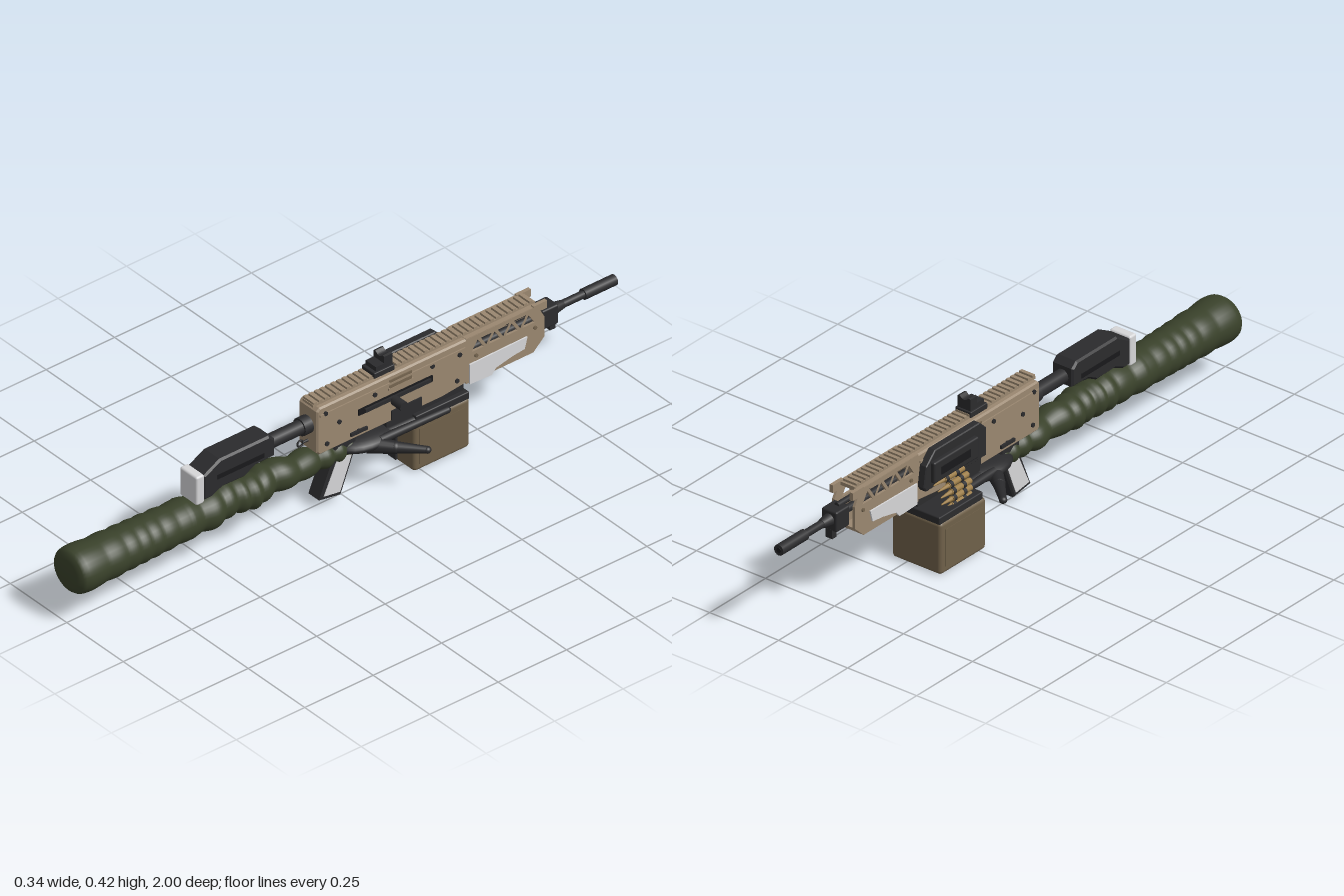
import * as THREE from 'three';
import { RoundedBoxGeometry } from 'three/addons/geometries/RoundedBoxGeometry.js';

const mat = (name, color) => Object.assign(new THREE.MeshStandardMaterial({ color }), { name });

export function createModel() {
  const tan = mat('tan', 0x9a8770), darkTan = mat('dark tan', 0x75654f), black = mat('black', 0x2b2b2d);
  const deep = mat('deep black', 0x19191b), white = mat('light grey', 0xd6d6d8), can = mat('ammo box brown', 0x6f6049);
  const sleeveMat = mat('sleeve green', 0x39412a), glove = mat('glove grey', 0x29292b), brass = mat('brass', 0x9c7c46);
  const model = new THREE.Group();
  const add = (name, geo, m, parent = model) => {
    const mesh = new THREE.Mesh(geo, m);
    mesh.name = name;
    parent.add(mesh);
    return mesh;
  };
  // Box given by its extents on each axis
  const box = (name, m, x0, x1, y0, y1, z0, z1, r = 0) => {
    const s = [x1 - x0, y1 - y0, z1 - z0];
    const g = r ? new RoundedBoxGeometry(...s, 3, r) : new THREE.BoxGeometry(...s);
    return add(name, g.translate((x0 + x1) / 2, (y0 + y1) / 2, (z0 + z1) / 2), m);
  };
  // Cylinder between two points
  const rod = (name, m, a, b, r0, r1 = r0, sides = 16) => {
    const p = new THREE.Vector3(...a), q = new THREE.Vector3(...b), d = q.clone().sub(p);
    const mesh = add(name, new THREE.CylinderGeometry(r1, r0, d.length(), sides), m);
    mesh.position.copy(p).add(q).multiplyScalar(0.5);
    mesh.quaternion.setFromUnitVectors(new THREE.Vector3(0, 1, 0), d.normalize());
    return mesh;
  };
  // Side outline of [z, y] points, extruded across x
  const outline = (pts, Type = THREE.Shape) => new Type(pts.map(([z, y]) => new THREE.Vector2(-z, y)));
  const slab = (name, m, pts, x0, x1, bevel = 0, holes = []) => {
    const shape = outline(pts);
    holes.forEach(h => shape.holes.push(outline(h, THREE.Path)));
    const g = new THREE.ExtrudeGeometry(shape, {
      depth: x1 - x0 - 2 * bevel, bevelEnabled: bevel > 0, bevelSize: bevel, bevelThickness: bevel,
      bevelOffset: -bevel, bevelSegments: 1,
    });
    return add(name, g.rotateY(Math.PI / 2).translate(x0 + bevel, 0, 0), m);
  };

  // Receiver
  slab('receiver', tan, [[0.12, 0.215], [0.12, 0.355], [0.11, 0.365], [-0.43, 0.365], [-0.43, 0.215],
    [-0.34, 0.205], [0.11, 0.205]], -0.041, 0.041, 0.005);
  for (const s of [-1, 1]) {
    const side = (name, m, y0, y1, z0, z1, t = 0.004) =>
      box(name, m, Math.min(s * 0.04, s * (0.041 + t)), Math.max(s * 0.04, s * (0.041 + t)), y0, y1, z0, z1);
    side('receiverRib', tan, 0.335, 0.342, -0.42, 0.11);
    side('magazineWellPanel', black, 0.212, 0.243, -0.26, -0.15);
    side('receiverWindow', darkTan, 0.322, 0.35, -0.225, -0.145, 0.003);
    side('windowFrame', tan, 0.317, 0.323, -0.23, -0.14);
    side('selectorLever', black, 0.222, 0.232, -0.06, 0.0, 0.007);
    for (const [z, y] of [[0.09, 0.34], [0.085, 0.235], [-0.03, 0.228], [-0.09, 0.325], [-0.30, 0.33], [-0.39, 0.24], [-0.40, 0.325], [0.04, 0.29]])
      rod('pin', black, [s * 0.038, y, z], [s * 0.046, y, z], 0.007, 0.007, 10);
  }

  // Handguard side plates with triangular cut-outs
  const holes = [];
  for (let i = 0; i < 7; i++) {
    const z = -0.445 - i * 0.031, up = i % 2;
    holes.push([[z, up ? 0.352 : 0.314], [z - 0.044, up ? 0.352 : 0.314], [z - 0.022, up ? 0.318 : 0.348]]);
  }
  for (const s of [-1, 1]) {
    slab('handguardPlate', tan, [[-0.425, 0.365], [-0.685, 0.365], [-0.71, 0.32], [-0.71, 0.25], [-0.67, 0.213], [-0.425, 0.213]],
      s > 0 ? 0.033 : -0.041, s > 0 ? 0.041 : -0.033, 0, holes);
    slab('heatShield', white, [[-0.435, 0.277], [-0.645, 0.28], [-0.635, 0.243], [-0.59, 0.238], [-0.53, 0.225], [-0.515, 0.207], [-0.435, 0.21]],
      s > 0 ? 0.039 : -0.046, s > 0 ? 0.046 : -0.039);
    for (const z of [-0.46, -0.675]) rod('handguardBolt', darkTan, [s * 0.038, 0.297, z], [s * 0.046, 0.297, z], 0.006, 0.006, 8);
  }
  box('handguardTop', tan, -0.04, 0.04, 0.356, 0.366, -0.685, -0.425);
  box('handguardFloor', tan, -0.04, 0.04, 0.213, 0.222, -0.67, -0.425);

  // Top rail with teeth
  box('railBase', tan, -0.024, 0.024, 0.363, 0.371, -0.69, 0.12);
  for (let i = 0; i < 40; i++) box('railTooth', tan, -0.024, 0.024, 0.37, 0.378, 0.106 - i * 0.0202, 0.118 - i * 0.0202);
  for (const s of [-1, 1]) box('frontLug', tan, s * 0.036 - 0.006, s * 0.036 + 0.006, 0.345, 0.37, -0.72, -0.67);

  // Sight
  box('sightBase', black, -0.029, 0.029, 0.366, 0.385, -0.175, -0.1, 0.003);
  box('sightBody', black, -0.023, 0.023, 0.383, 0.4, -0.17, -0.11);
  const notch = new THREE.Shape();
  notch.moveTo(-0.023, 0.395); notch.lineTo(0.023, 0.395); notch.lineTo(0.023, 0.422); notch.lineTo(0.016, 0.424);
  notch.quadraticCurveTo(0, 0.405, -0.016, 0.424); notch.lineTo(-0.023, 0.422);
  add('sightNotch', new THREE.ExtrudeGeometry(notch, { depth: 0.03, bevelEnabled: false }).translate(0, 0, -0.17), black);

  // Barrel and muzzle
  rod('barrel', black, [0, 0.295, -0.4], [0, 0.295, -0.92], 0.012);
  rod('muzzle', black, [0, 0.295, -0.885], [0, 0.295, -1], 0.017);
  rod('muzzleBore', deep, [0, 0.295, -0.999], [0, 0.295, -1.0005], 0.008);
  box('gasBlock', black, -0.028, 0.028, 0.26, 0.325, -0.775, -0.715, 0.006);
  rod('gasTube', black, [0, 0.325, -0.6], [0, 0.325, -0.74], 0.009);
  rod('gasBlockCollar', black, [0, 0.295, -0.77], [0, 0.295, -0.81], 0.02, 0.013);
  box('gasBlockFoot', black, -0.012, 0.012, 0.235, 0.265, -0.775, -0.755);

  // Stock
  rod('stockTube', black, [0, 0.297, 0.115], [0, 0.297, 0.3], 0.022);
  rod('stockCollar', black, [0, 0.297, 0.115], [0, 0.297, 0.15], 0.028);
  slab('stock', black, [[0.53, 0.315], [0.47, 0.348], [0.29, 0.348], [0.27, 0.33], [0.27, 0.272], [0.34, 0.27], [0.38, 0.248],
    [0.46, 0.25], [0.5, 0.232], [0.53, 0.232]], -0.038, 0.038, 0.006);
  box('stockPanel', deep, -0.0395, 0.0395, 0.285, 0.3, 0.31, 0.48);
  rod('stockStrut', black, [0, 0.255, 0.36], [0, 0.235, 0.53], 0.012);
  box('buttPad', white, -0.038, 0.038, 0.225, 0.322, 0.527, 0.557, 0.007);
  add('slingLoop', new THREE.TorusGeometry(0.01, 0.003, 6, 16).rotateY(Math.PI / 2).translate(0, 0.24, 0.148), black);
  rod('slingStud', black, [0, 0.24, 0.115], [0, 0.24, 0.14], 0.004);

  // Pistol grip and trigger
  slab('grip', black, [[0.045, 0.21], [-0.04, 0.21], [-0.03, 0.15], [0.02, 0.022], [0.098, 0.035], [0.05, 0.15]], -0.028, 0.028, 0.005);
  for (const s of [-1, 1])
    slab('gripPanel', white, [[-0.018, 0.15], [0.037, 0.15], [0.085, 0.046], [0.026, 0.037]], s > 0 ? 0.026 : -0.03, s > 0 ? 0.03 : -0.026);
  const guard = new THREE.CatmullRomCurve3([[-0.02, 0.14], [-0.08, 0.125], [-0.125, 0.14], [-0.14, 0.205]].map(([z, y]) => new THREE.Vector3(0, y, z)));
  add('triggerGuard', new THREE.TubeGeometry(guard, 20, 0.006, 8), black);
  rod('trigger', black, [0, 0.2, -0.07], [0, 0.145, -0.08], 0.006, 0.004, 8);

  // Bolt slot and charging handle
  box('boltSlot', deep, 0.04, 0.045, 0.28, 0.3, -0.3, -0.03);
  box('boltBar', black, 0.04, 0.052, 0.285, 0.296, -0.29, -0.05);
  rod('chargingHandleStem', black, [0.04, 0.288, -0.15], [0.065, 0.288, -0.15], 0.009);
  rod('chargingHandle', black, [0.058, 0.288, -0.15], [0.1, 0.288, -0.15], 0.015);

  // Feed cover on the right side
  slab('feedCover', black, [[-0.43, 0.265], [-0.42, 0.33], [-0.38, 0.368], [-0.18, 0.368], [-0.15, 0.34], [-0.15, 0.25], [-0.42, 0.25]], -0.066, -0.04, 0.003);
  box('feedCoverBulge', black, -0.08, -0.06, 0.27, 0.338, -0.4, -0.2, 0.006);
  box('feedCoverRib', deep, -0.082, -0.07, 0.29, 0.315, -0.37, -0.24);

  // Ammunition box
  box('ammoBox', can, -0.126, 0.053, 0.003, 0.17, -0.43, -0.225, 0.012);
  for (const x of [-0.127, 0.051]) box('ammoBoxPanel', can, x, x + 0.003, 0.025, 0.145, -0.41, -0.245);
  box('ammoBoxLid', black, -0.122, 0.05, 0.165, 0.19, -0.43, -0.235, 0.004);
  box('ammoBoxStrap', black, -0.053, -0.02, 0.012, 0.165, -0.23, -0.217);
  box('magazineWell', black, -0.034, 0.034, 0.18, 0.22, -0.42, -0.14);

  // Belt of rounds
  [[-0.096, 0.185], [-0.096, 0.206], [-0.094, 0.227], [-0.084, 0.244], [-0.068, 0.258], [-0.052, 0.27]].forEach(([x, y]) => {
    rod('roundCase', brass, [x, y, -0.26], [x, y, -0.345], 0.0095, 0.0095, 12);
    rod('roundTip', brass, [x, y, -0.345], [x, y, -0.39], 0.007, 0.002, 12);
    for (const z of [-0.285, -0.33]) rod('beltLink', black, [x, y, z], [x, y, z - 0.012], 0.0108, 0.0108, 12);
  });

  // Sleeve: a lathe with uneven folds, bent along its length
  const knots = [[-0.05, 0.026], [0, 0.036], [0.1, 0.041], [0.3, 0.054], [0.55, 0.063], [0.8, 0.07], [0.97, 0.076], [1, 0.074]];
  const radius = z => {
    const i = Math.max(1, knots.findIndex(k => k[0] >= z - 1e-6));
    const [a, b] = [knots[i - 1], knots[i]];
    return a[1] + (b[1] - a[1]) * (z - a[0]) / (b[0] - a[0]);
  };
  const profile = [new THREE.Vector2(0, -0.05)];
  for (let i = 0; i <= 140; i++) {
    const z = -0.05 + i * 0.0073;
    const fold = Math.abs(Math.sin(z * 52 + 1.3 * Math.sin(z * 17)));
    profile.push(new THREE.Vector2(radius(Math.min(z, 0.972)) + (fold - 0.6) * (z < 0.58 ? 0.009 : 0.004), z));
  }
  profile.push(new THREE.Vector2(0.073, 0.984), new THREE.Vector2(0.066, 0.993), new THREE.Vector2(0.045, 0.999), new THREE.Vector2(0, 1));
  const sleeve = new THREE.LatheGeometry(profile, 32).rotateX(Math.PI / 2);
  const p = sleeve.attributes.position;
  for (let i = 0; i < p.count; i++) {
    const z = p.getZ(i), loose = z > 0.05 && z < 0.6 ? Math.sin((z - 0.05) / 0.55 * Math.PI) : 0;
    p.setX(i, p.getX(i) + 0.006 * loose * Math.sin(z * 41));
    p.setY(i, p.getY(i) * 0.93 + 0.164 + 0.008 * Math.min(1, Math.max(0, z * 3)) + 0.004 * loose * Math.sin(z * 33));
  }
  sleeve.computeVertexNormals();
  add('sleeve', sleeve, sleeveMat);

  // Gloved hands: palm, fingers running forward, thumbs spread to each side
  const blob = (name, x, y, z, sx, sy, sz) => add(name, new THREE.SphereGeometry(1, 24, 16).scale(sx, sy, sz).translate(x, y, z), glove);
  blob('palm', 0, 0.165, -0.09, 0.07, 0.027, 0.11);
  for (const s of [-1, 1]) {
    for (const [x, end] of [[0.018, -0.33], [0.04, -0.345], [0.06, -0.34]]) {
      rod('finger', glove, [s * x * 0.85, 0.17, -0.1], [s * x, 0.172, end], 0.014, 0.01);
      blob('fingerTip', s * x, 0.172, end, 0.01, 0.01, 0.012);
    }
    rod('thumbBase', glove, [s * 0.03, 0.155, -0.075], [s * 0.09, 0.155, -0.125], 0.026, 0.019);
    blob('thumbJoint', s * 0.09, 0.155, -0.125, 0.019, 0.019, 0.019);
    rod('thumb', glove, [s * 0.09, 0.155, -0.125], [s * 0.156, 0.154, -0.188], 0.018, 0.011);
    blob('thumbTip', s * 0.156, 0.154, -0.188, 0.012, 0.011, 0.012);
  }
  return model;
}
